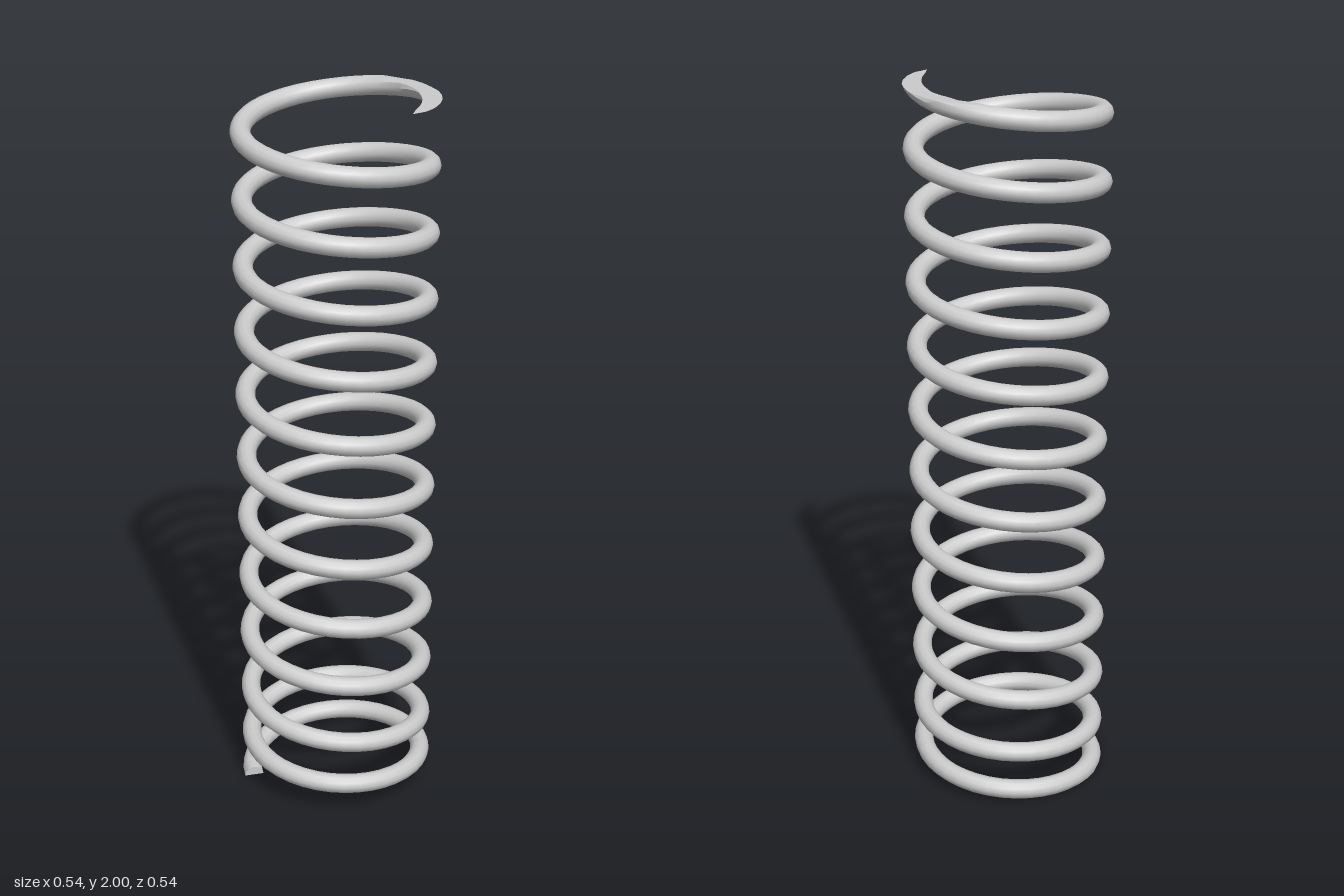
import * as THREE from 'three';
import { toCreasedNormals } from 'three/addons/utils/BufferGeometryUtils.js';

const COIL_R = 0.245, WIRE_R = 0.027, HEIGHT = 2;
const SIDES = 12, STEPS_PER_TURN = 40;
const START = -0.175, END = 11.473; // in turns, from the back towards +x

// Height of the wire centre: tight first turn, then an even pitch
const coilHeight = (u) => Math.max(0.02 + 0.122 * u, -0.061 + 0.182 * u);

// Point on the wire's section, with both ends ground flat at y = 0 and y = HEIGHT
function wirePoint(u, a) {
  const cy = coilHeight(u);
  let out = WIRE_R * Math.cos(a);
  let y = cy + WIRE_R * Math.sin(a);
  const cut = THREE.MathUtils.clamp(y, 0, HEIGHT);
  if (cut !== y) {
    const halfChord = Math.sqrt(Math.max(0, WIRE_R ** 2 - (cut - cy) ** 2));
    out = THREE.MathUtils.clamp(out, -halfChord, halfChord);
    y = cut;
  }
  const t = u * Math.PI * 2, r = COIL_R + out;
  return [r * Math.sin(t), y, -r * Math.cos(t)];
}

function springGeometry() {
  const steps = Math.round((END - START) * STEPS_PER_TURN);
  const positions = [], index = [];
  for (let i = 0; i <= steps; i++) {
    const u = START + (END - START) * (i / steps);
    for (let j = 0; j < SIDES; j++) positions.push(...wirePoint(u, (j / SIDES) * Math.PI * 2));
  }
  // Skin between neighbouring sections
  for (let i = 0; i < steps; i++) {
    for (let j = 0; j < SIDES; j++) {
      const k = (j + 1) % SIDES;
      const a = i * SIDES + j, b = i * SIDES + k;
      index.push(a, b, a + SIDES, b, b + SIDES, a + SIDES);
    }
  }
  // Cap on the lower end; the upper end tapers to nothing
  for (let j = 1; j < SIDES - 1; j++) index.push(0, j + 1, j);

  const geometry = new THREE.BufferGeometry();
  geometry.setAttribute('position', new THREE.Float32BufferAttribute(positions, 3));
  geometry.setIndex(index);
  return toCreasedNormals(geometry, 0.6);
}

export function createModel() {
  const group = new THREE.Group();
  group.name = 'coilSpring';
  const wire = new THREE.Mesh(
    springGeometry(),
    new THREE.MeshStandardMaterial({ color: 0xcccccc })
  );
  wire.name = 'springWire';
  group.add(wire);
  return group;
}
